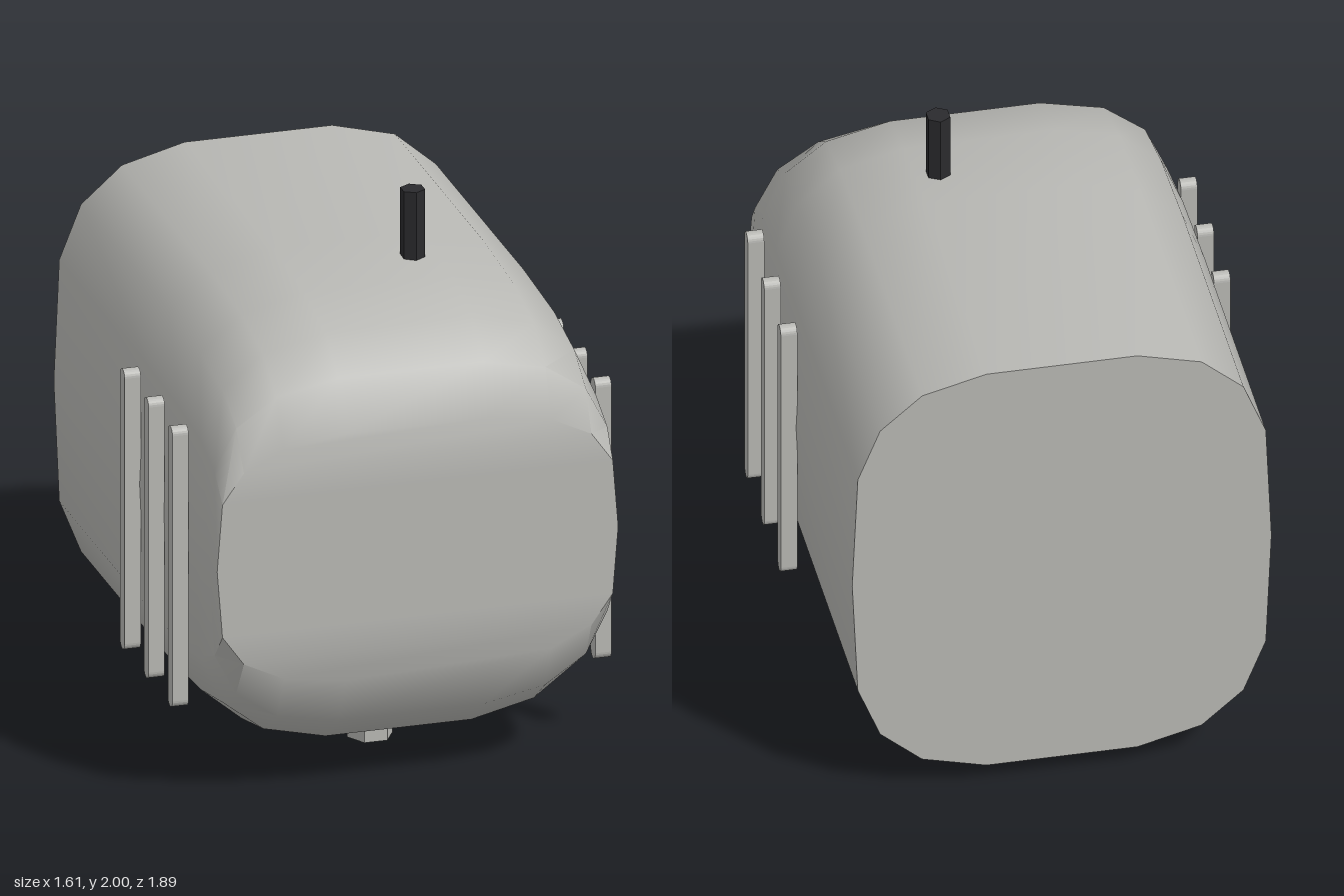
import * as THREE from 'three';
import { toCreasedNormals } from 'three/addons/utils/BufferGeometryUtils.js';

const CENTER_Y = 0.915;

// Body: one rounded cross-section, flattened in height towards the front
function bodyGeometry() {
  const quarter = [[0.27, 0.845], [0.5, 0.785], [0.65, 0.655], [0.73, 0.455]];
  const reversed = [...quarter].reverse();
  // Counter-clockwise, starting at the right end of the top edge
  const ring = [
    quarter[0],
    ...quarter.map(([x, y]) => [-x, y]), [-0.75, 0],
    ...reversed.map(([x, y]) => [-x, -y]),
    ...quarter.map(([x, y]) => [x, -y]), [0.75, 0],
    ...reversed.slice(0, 3),
  ];
  // z, width scale, height scale
  const sections = [
    [-0.945, 1, 1], [0.1, 1, 1], [0.47, 0.998, 0.97],
    [0.72, 0.992, 0.9], [0.87, 0.986, 0.763], [0.95, 0.98, 0.55],
  ];
  const n = ring.length;
  const positions = [];
  const index = [];
  for (const [z, sx, sy] of sections)
    for (const [x, y] of ring) positions.push(x * sx, CENTER_Y + y * sy, z);

  const quad = (a, b, c, d) => index.push(a, b, c, a, c, d);
  for (let i = 0; i < sections.length - 1; i++)
    for (let j = 0; j < n; j++) {
      const k = (j + 1) % n;
      quad(i * n + j, i * n + k, (i + 1) * n + k, (i + 1) * n + j);
    }
  // End caps in horizontal strips
  const front = (sections.length - 1) * n;
  for (let k = 0; k < n / 2 - 1; k++) {
    const r0 = (n - k) % n, r1 = n - k - 1, l0 = k + 1, l1 = k + 2;
    quad(front + r0, front + l0, front + l1, front + r1);
    quad(r1, l1, l0, r0);
  }
  const geometry = new THREE.BufferGeometry();
  geometry.setAttribute('position', new THREE.Float32BufferAttribute(positions, 3));
  geometry.setIndex(index);
  return toCreasedNormals(geometry, THREE.MathUtils.degToRad(40));
}

// Upright bar with rounded ends, extruded along x
function finGeometry() {
  const r = 0.028, half = 0.528, depth = 0.059;
  const shape = new THREE.Shape();
  shape.absarc(0, half - r, r, 0, Math.PI, false);
  shape.absarc(0, -half + r, r, Math.PI, Math.PI * 2, false);
  const geometry = new THREE.ExtrudeGeometry(shape, { depth, bevelEnabled: false, curveSegments: 6 });
  geometry.translate(0, 0, -depth / 2);
  geometry.rotateY(Math.PI / 2);
  return geometry;
}

export function createModel() {
  const model = new THREE.Group();
  const shellGrey = new THREE.MeshStandardMaterial({ color: 0xb8b8b4 });
  shellGrey.name = 'shellGrey';
  const pinBlack = new THREE.MeshStandardMaterial({ color: 0x2a2a2d });
  pinBlack.name = 'pinBlack';

  const add = (name, geometry, material, x, y, z) => {
    const mesh = new THREE.Mesh(geometry, material);
    mesh.name = name;
    mesh.position.set(x, y, z);
    model.add(mesh);
    return mesh;
  };

  add('body', bodyGeometry(), shellGrey, 0, 0, 0);

  // Three fins on each side
  const fin = finGeometry();
  for (const [side, x] of [['left', 0.775], ['right', -0.775]])
    [0.616, 0.332, 0.048].forEach((z, i) =>
      add(`${side}Fin${i + 1}`, fin, shellGrey, x, 0.818, z));

  // Six-sided pin on top and stub below
  const hexagon = (r, height) =>
    toCreasedNormals(new THREE.CylinderGeometry(r, r, height, 6), 0.5);
  add('topPin', hexagon(0.045, 0.27), pinBlack, 0.187, 1.865, 0.283);
  add('bottomStub', hexagon(0.084, 0.1), shellGrey, 0, 0.05, 0.38).rotation.y = Math.PI / 6;

  return model;
}
